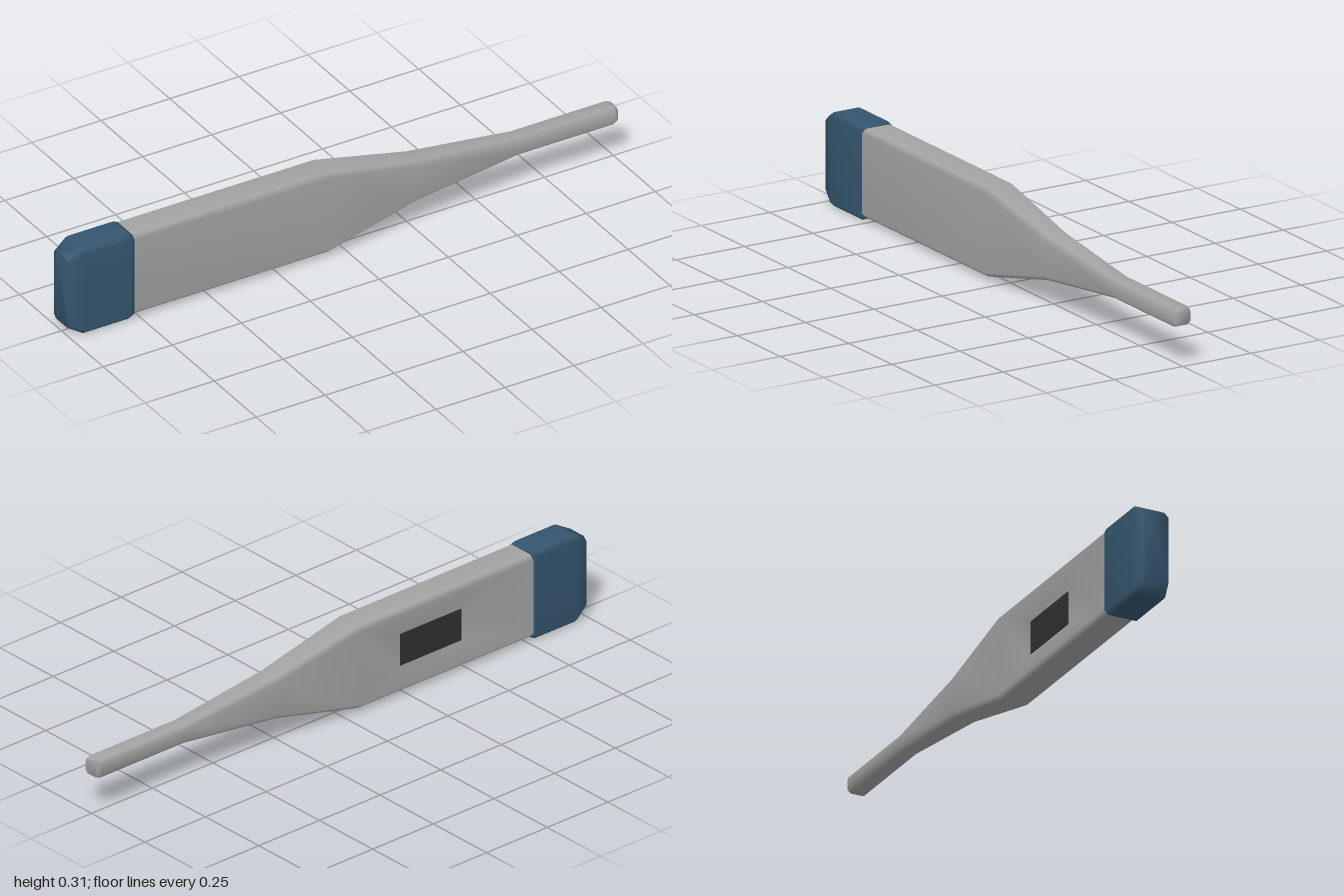
import * as THREE from 'three';

const bodyGrey = new THREE.MeshStandardMaterial({ color: 0xa3a3a3 });
const capBlue = new THREE.MeshStandardMaterial({ color: 0x35566f });
const screenDark = new THREE.MeshStandardMaterial({ color: 0x303030 });

// Chamfered rectangle at x, running from +y towards +z
function ring([x, bottom, top, hz, c]) {
  const cy = (bottom + top) / 2, hy = (top - bottom) / 2;
  return [
    [hy, c - hz], [hy, hz - c], [hy - c, hz], [c - hy, hz],
    [-hy, hz - c], [-hy, c - hz], [c - hy, -hz], [hy - c, -hz],
  ].map(([y, z]) => [x, cy + y, z]);
}

// Smooth loft through the sections; the first back panel may hold a recess
function loft(sections, { closeStart = true, recess = null } = {}) {
  const points = sections.flatMap(ring);
  const index = [];
  const quad = (a, b, c, d) => index.push(a, b, c, a, c, d);
  const last = (sections.length - 1) * 8;
  for (let i = 0; i < sections.length - 1; i++) {
    for (let j = 0; j < 8; j++) {
      const k = (j + 1) % 8, p = i * 8, q = p + 8;
      if (recess && i === 0 && j === 6) continue;
      quad(p + j, p + k, q + k, q + j);
    }
  }
  for (let j = 1; j < 7; j++) {
    if (closeStart) index.push(0, j + 1, j);
    index.push(last, last + j, last + j + 1);
  }
  if (recess) {
    const { x0, x1, y0, y1, z } = recess;
    const outer = [6, 7, 15, 14];
    const n = points.length;
    points.push([x0, y0, z], [x0, y1, z], [x1, y1, z], [x1, y0, z]);
    for (let i = 0; i < 4; i++) {
      const k = (i + 1) % 4;
      quad(outer[i], outer[k], n + k, n + i);
    }
    quad(n, n + 1, n + 2, n + 3);
  }
  const g = new THREE.BufferGeometry();
  g.setAttribute('position', new THREE.Float32BufferAttribute(points.flat(), 3));
  g.setIndex(index);
  g.computeVertexNormals();
  return g;
}

export function createModel() {
  const group = new THREE.Group();
  const add = (name, geometry, material) => {
    const mesh = new THREE.Mesh(geometry, material);
    mesh.name = name;
    group.add(mesh);
    return mesh;
  };

  // Body narrowing into the probe, sections are [x, bottom, top, half depth, chamfer]
  const recess = { x0: -0.49, x1: -0.24, y0: 0.095, y1: 0.205, z: -0.036 };
  add('bodyAndProbe', loft([
    [-0.77, 0.012, 0.299, 0.058, 0.014],
    [-0.06, 0.012, 0.299, 0.057, 0.014],
    [0.27, 0.088, 0.231, 0.046, 0.014],
    [0.64, 0.129, 0.191, 0.034, 0.012],
    [0.985, 0.129, 0.191, 0.034, 0.012],
    [1.0, 0.134, 0.186, 0.029, 0.011],
  ], { closeStart: false, recess }), bodyGrey);

  // End cap with a tapered tail
  add('endCap', loft([
    [-1.0, 0.028, 0.278, 0.046, 0.014],
    [-0.95, 0, 0.305, 0.06, 0.014],
    [-0.785, 0, 0.305, 0.06, 0.014],
    [-0.77, 0.008, 0.299, 0.058, 0.014],
  ]), capBlue);

  // Display plate on the floor of the recess
  const screen = add('screen', new THREE.BoxGeometry(
    recess.x1 - recess.x0, recess.y1 - recess.y0, 0.006), screenDark);
  screen.position.set((recess.x0 + recess.x1) / 2, (recess.y0 + recess.y1) / 2, recess.z);

  return group;
}
